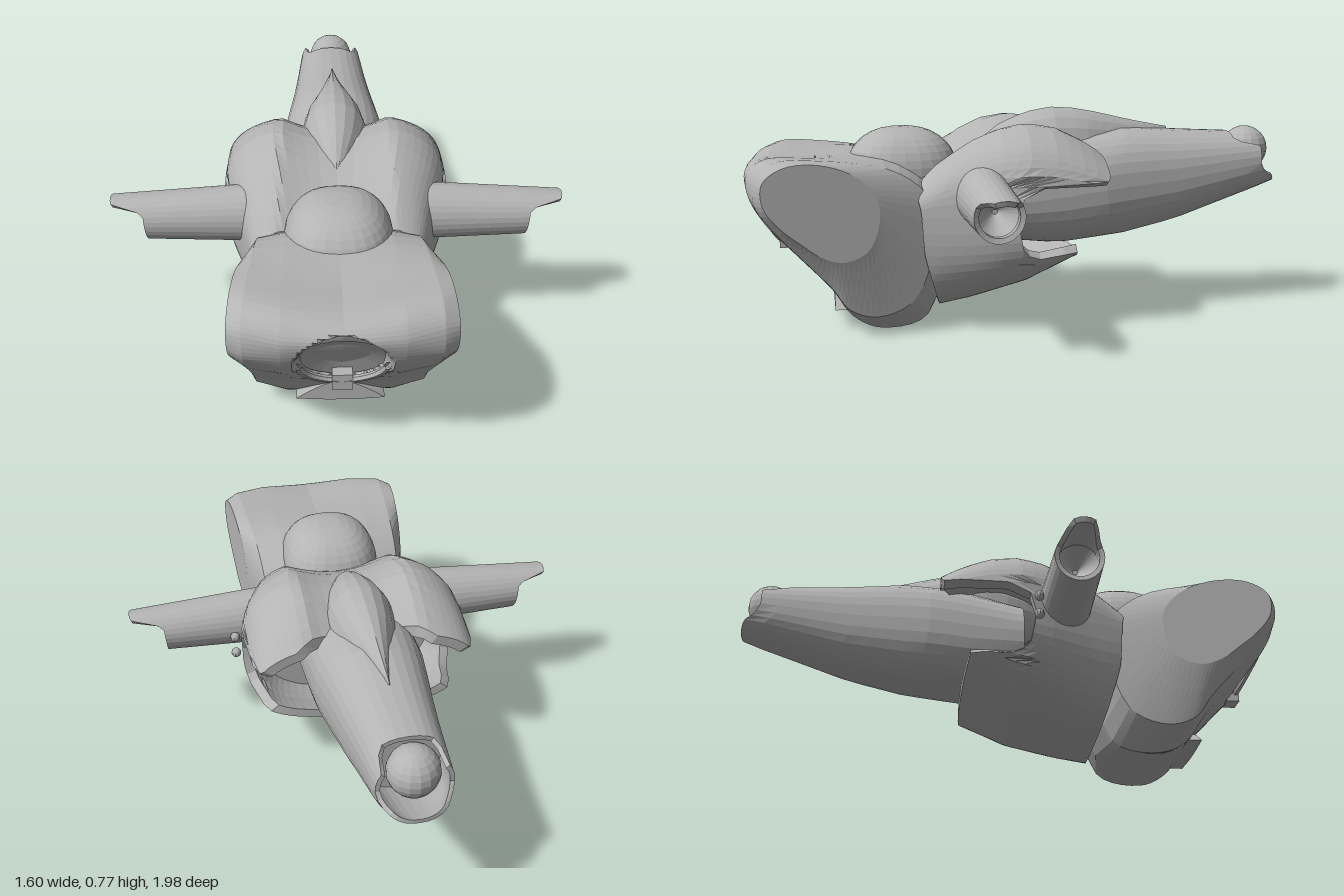
import * as THREE from 'three';

const hullGrey = new THREE.MeshStandardMaterial({ color: 0xb4b4b4, flatShading: true, side: THREE.DoubleSide });
hullGrey.name = 'hull grey';

const V = (x, y, z) => new THREE.Vector3(x, y, z);
const spow = (v, p) => Math.sign(v) * Math.pow(Math.abs(v), p);

// Linear lookup in [[key, value], ...] sorted by ascending key
function look(table, k) {
  if (k <= table[0][0]) return table[0][1];
  for (let i = 1; i < table.length; i++) {
    const [a, va] = table[i - 1], [b, vb] = table[i];
    if (k <= b) return va + (vb - va) * (k - a) / (b - a);
  }
  return table[table.length - 1][1];
}

// Skin closed rings of points, with a fan cap at both ends, facing outward
function loft(rings) {
  const n = rings[0].length, pts = rings.flat(), idx = [];
  for (let r = 0; r < rings.length - 1; r++) {
    for (let i = 0; i < n; i++) {
      const a = r * n + i, b = r * n + (i + 1) % n;
      idx.push(a, b, b + n, a, b + n, a + n);
    }
  }
  [0, rings.length - 1].forEach((r) => {
    const c = pts.length;
    pts.push(rings[r].reduce((s, p) => s.add(p), V(0, 0, 0)).divideScalar(n));
    for (let i = 0; i < n; i++) {
      const a = r * n + i, b = r * n + (i + 1) % n;
      if (r === 0) idx.push(b, a, c); else idx.push(a, b, c);
    }
  });
  let volume = 0;
  for (let i = 0; i < idx.length; i += 3) {
    volume += pts[idx[i]].dot(pts[idx[i + 1]].clone().cross(pts[idx[i + 2]]));
  }
  if (volume < 0) idx.reverse();
  const g = new THREE.BufferGeometry().setFromPoints(pts);
  g.setIndex(idx);
  g.computeVertexNormals();
  return g;
}

// Thick shell open at the rear: out along the skin, back along the inside
function shell(n, steps, front, rear, inner, point, thick) {
  const rings = [];
  const ring = (f) => Array.from({ length: n }, (_, i) => f(i / n * Math.PI * 2));
  for (let k = 0; k <= steps; k++) {
    rings.push(ring((a) => point(a, THREE.MathUtils.lerp(front(Math.sin(a)), rear(Math.sin(a)), k / steps), 0)));
  }
  for (let k = 0; k <= 4; k++) {
    rings.push(ring((a) => point(a, THREE.MathUtils.lerp(rear(Math.sin(a)), inner, k / 4), thick)));
  }
  return loft(rings);
}

// Blunt nose: side-profile sections stacked across the width
function noseGeometry() {
  const mid = [[.3, .48], [.45, .6], [.75, .605], [.93, .6], [.99, .56], [.975, .5], [.93, .41], [.85, .3], [.7, .16], [.63, .07], [.5, .045], [.32, .05]];
  const foot = [[.31, .46], [.45, .59], [.75, .62], [.92, .615], [.97, .56], [.965, .49], [.91, .39], [.81, .28], [.69, .15], [.62, .05], [.52, 0], [.35, .04]];
  const side = [[.33, .44], [.45, .57], [.73, .625], [.88, .62], [.935, .57], [.94, .48], [.88, .39], [.79, .29], [.69, .18], [.63, .1], [.53, .07], [.4, .13]];
  const end = [[.53, .49], [.6, .57], [.72, .615], [.84, .61], [.91, .56], [.91, .48], [.86, .41], [.79, .35], [.72, .3], [.65, .28], [.57, .31], [.53, .39]];
  const keys = [[-.335, end], [-.29, side], [-.18, foot], [0, mid], [.18, foot], [.29, side], [.335, end]];
  const rings = [], across = 44;
  for (let k = 0; k <= across; k++) {
    const x = -.335 + .67 * k / across;
    const prof = mid.map((_, i) => V(0,
      look(keys.map(([kx, s]) => [kx, s[i][1]]), x),
      look(keys.map(([kx, s]) => [kx, s[i][0]]), x)));
    const pts = new THREE.CatmullRomCurve3(prof, true).getPoints(60).slice(0, 60);
    rings.push(pts.map((p) => {
      const flare = 1 + .25 * (p.z - .7) * Math.min(1, Math.abs(x) / .3);
      // Round socket sunk into the front face
      if (p.z > .75) p.z -= .06 * (1 - THREE.MathUtils.smoothstep(Math.hypot(x, p.y - .43), .125, .15));
      return V(x * flare, p.y, p.z);
    }));
  }
  return loft(rings);
}

// Main body shell with twin shoulder lobes
function bodyGeometry() {
  const w = [[-.28, .4], [-.2, .41], [.03, .41], [.12, .385], [.25, .34], [.4, .29]];
  const top = [[-.28, .63], [-.2, .685], [-.1, .735], [0, .75], [.1, .735], [.2, .69], [.3, .63], [.4, .53]];
  const bottom = [[-.18, .235], [0, .14], [.2, .075], [.33, .045], [.4, .06]];
  const front = [[-1, .3], [-.3, .37], [.3, .39], [1, .36]];
  const rear = [[-1, -.18], [-.6, -.16], [-.45, 0], [-.3, .04], [0, .06], [.1, .04], [.18, 0], [.25, -.18], [.4, -.27], [.85, -.27], [1, -.2]];
  const point = (a, z, t) => {
    const s = Math.sin(a), x = (look(w, z) - t) * spow(Math.cos(a), .8);
    if (s < 0) return V(x, .42 - (.42 - look(bottom, z) - t) * spow(-s, .8), z);
    const valley = .07 * Math.max(0, 1 - (x / .2) ** 2);
    return V(x, .42 + (look(top, z) - .42 - t) * spow(s, .65) - valley, z);
  };
  return shell(64, 14, (s) => look(front, s), (s) => look(rear, s), .14, point, .035);
}

// Tapering tail hull with a cupped end
function tailGeometry() {
  const w = [[-1, .1], [-.92, .125], [-.7, .147], [-.5, .172], [-.3, .2], [.05, .21]];
  const top = [[-1, .655], [-.8, .665], [-.6, .675], [-.4, .69], [-.2, .67], [.05, .6]];
  const bottom = [[-1, .47], [-.8, .4], [-.6, .33], [-.4, .285], [-.15, .258], [.05, .28]];
  const rear = [[-1, -.995], [-.6, -.98], [-.3, -.94], [0, -.92], [.6, -.92], [.75, -.82], [1, -.82]];
  const point = (a, z, t) => {
    const hi = look(top, z), lo = look(bottom, z);
    return V((look(w, z) - t) * spow(Math.cos(a), .85),
      (hi + lo) / 2 + ((hi - lo) / 2 - t) * spow(Math.sin(a), .85), z);
  };
  return shell(32, 14, () => .04, (s) => look(rear, s), -.76, point, .015);
}

// Teardrop spine fairing on the back
function spineGeometry() {
  const w = [[-.58, .005], [-.4, .06], [-.25, .11], [-.12, .128], [0, .1], [.1, .05], [.15, .01]];
  const top = [[-.58, .685], [-.45, .71], [-.3, .745], [-.22, .76], [-.13, .766], [-.04, .75], [.06, .71], [.15, .64]];
  return loft(Array.from({ length: 19 }, (_, k) => {
    const z = .15 - .73 * k / 18, h = look(top, z) - .6;
    return Array.from({ length: 20 }, (_, i) => {
      const a = i / 20 * Math.PI * 2;
      return V(look(w, z) * Math.cos(a), .6 + h * Math.sin(a), z);
    });
  }));
}

// Stub arm: open tube along x with a long upper lip and a conical bore
function armGeometry() {
  const lip = [[-1, .67], [.45, .68], [.72, .71], [.85, .79], [1, .8]];
  const ring = (f) => Array.from({ length: 28 }, (_, i) => f(i / 28 * Math.PI * 2));
  const point = (a, x, r) => V(x, .486 - .05 * (x - .5) * Math.max(0, Math.sin(a)) + r * Math.sin(a), .17 + r * .95 * Math.cos(a));
  const rings = [];
  for (let k = 0; k <= 6; k++) rings.push(ring((a) => point(a, .3 + (look(lip, Math.sin(a)) - .3) * k / 6, .1 - .012 * k / 6)));
  rings.push(ring((a) => point(a, look(lip, Math.sin(a)) - .005, .07)));
  rings.push(ring((a) => point(a, .64, .07)), ring((a) => point(a, .57, .01)));
  return loft(rings);
}

export function createModel() {
  const model = new THREE.Group();
  const add = (name, geometry, x = 0, y = 0, z = 0) => {
    const m = new THREE.Mesh(geometry, hullGrey);
    m.name = name;
    m.position.set(x, y, z);
    model.add(m);
    return m;
  };

  add('nose', noseGeometry());
  add('body', bodyGeometry());
  add('tail', tailGeometry());
  add('spine', spineGeometry());
  add('tailBall', new THREE.SphereGeometry(.086, 16, 12), 0, .595, -.895);

  // Squarish canopy dome
  const dome = new THREE.SphereGeometry(1, 28, 18), p = dome.attributes.position;
  for (let i = 0; i < p.count; i++) {
    p.setXYZ(i, .185 * spow(p.getX(i), .8), .16 * p.getY(i), .203 * spow(p.getZ(i), .85));
  }
  dome.computeVertexNormals();
  add('canopy', dome, 0, .545, .423);

  // Front socket: shallow cone, lower rim and tab
  const socket = add('socketDish', new THREE.ConeGeometry(.14, .03, 24, 1, true), 0, .43, .875);
  socket.rotation.x = -Math.PI / 2 + .5;
  const rim = add('socketRim', new THREE.TorusGeometry(.14, .012, 6, 24, Math.PI * .9), 0, .43, .925);
  rim.rotation.set(.5, 0, Math.PI * 1.05);
  add('socketTab', new THREE.BoxGeometry(.065, .06, .06), 0, .305, .84);

  // Chin wedge
  const chin = new THREE.Shape();
  chin.moveTo(-.15, .065);
  chin.quadraticCurveTo(-.05, .14, 0, .14);
  chin.quadraticCurveTo(.05, .14, .15, .065);
  chin.quadraticCurveTo(0, .05, -.15, .065);
  add('chinWedge', new THREE.ExtrudeGeometry(chin, { depth: .12, bevelEnabled: false }), 0, 0, .56);

  // Arms, knobs and inner coils, mirrored
  const arm = armGeometry(), knob = new THREE.SphereGeometry(.018, 10, 8);
  const coil = new THREE.TorusGeometry(.05, .014, 6, 16);
  for (const s of [1, -1]) {
    const name = s > 0 ? 'left' : 'right';
    const a = add(name + 'Arm', arm);
    if (s < 0) a.rotation.y = Math.PI, a.position.z = .34;
    for (const y of [.47, .4]) add(name + 'Knob', knob, s * .425, y, .068);
    for (const r of [1, .6]) add(name + 'Coil', coil, s * .29, .4, .12).scale.setScalar(r);
  }
  return model;
}
